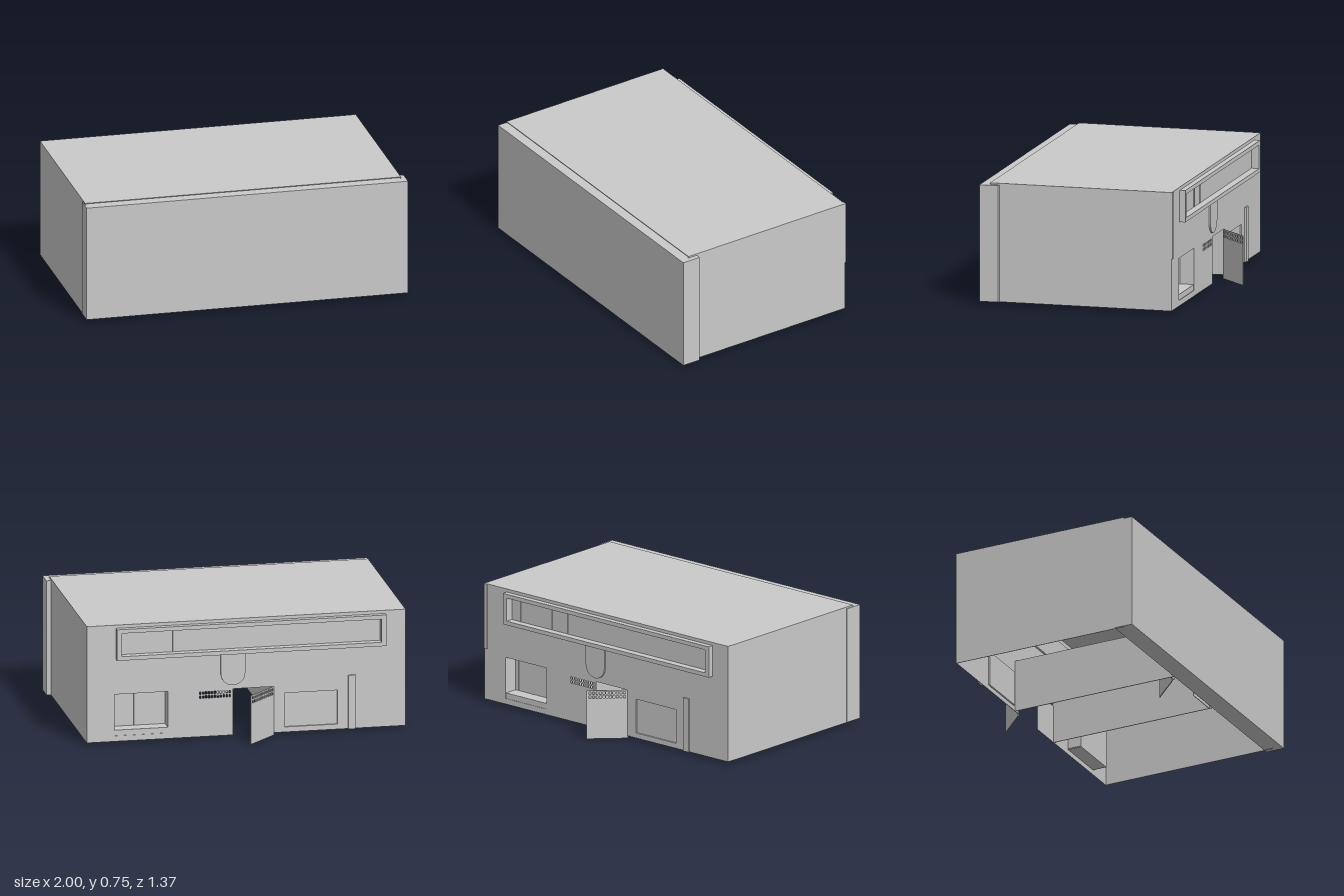
import * as THREE from 'three';

const grey = new THREE.MeshStandardMaterial({ color: 0xcacaca });
grey.name = 'plain grey';

const WALL_Z = -0.51, T = 0.004, BASE = 0.015, TOP = 0.745, HALL_TOP = 0.345;

function add(parent, name, geometry) {
  const mesh = new THREE.Mesh(geometry, grey);
  mesh.name = name;
  parent.add(mesh);
  return mesh;
}

// Box given by its limits on each axis
function block(parent, name, x0, x1, y0, y1, z0, z1) {
  const mesh = add(parent, name, new THREE.BoxGeometry(x1 - x0, y1 - y0, z1 - z0));
  mesh.position.set((x0 + x1) / 2, (y0 + y1) / 2, (z0 + z1) / 2);
  return mesh;
}

function rect(Type, x0, x1, y0, y1) {
  const p = new Type();
  p.moveTo(x0, y0);
  p.lineTo(x1, y0);
  p.lineTo(x1, y1);
  p.lineTo(x0, y1);
  p.closePath();
  return p;
}

function plate(shape, depth) {
  return new THREE.ExtrudeGeometry(shape, { depth, bevelEnabled: false, curveSegments: 10 });
}

// Wall outline with the doorway notched into its lower edge
function doorwayWall(x0, x1, top) {
  return new THREE.Shape([[x0, BASE], [-0.18, BASE], [-0.18, 0.305], [0.07, 0.305], [0.07, BASE],
    [x1, BASE], [x1, top], [x0, top]].map(([x, y]) => new THREE.Vector2(x, y)));
}

// Two rows of small square openings
function vents(shape, x0, x1) {
  const n = 11, step = (x1 - x0) / n;
  for (const y of [0.255, 0.28])
    for (let i = 0; i < n; i++) {
      const x = x0 + (i + 0.2) * step;
      shape.holes.push(rect(THREE.Path, x, x + step * 0.6, y, y + 0.016));
    }
}

// Reveal lining and pane set behind an opening in the back wall
function recess(parent, name, x0, x1, y0, y1, depth, mullions) {
  const g = new THREE.Group();
  g.name = name;
  const z0 = WALL_Z + 0.001, z1 = WALL_Z + depth, t = 0.004;
  block(g, 'pane', x0 - t, x1 + t, y0 - t, y1 + t, z1, z1 + t);
  for (const [a, b] of [[x0 - t, x0], [x1, x1 + t]]) block(g, 'sideReveal', a, b, y0, y1, z0, z1);
  for (const [a, b] of [[y0 - t, y0], [y1, y1 + t]]) block(g, 'levelReveal', x0, x1, a, b, z0, z1);
  for (const x of mullions) block(g, 'mullion', x - 0.003, x + 0.003, y0, y1, z1 - 0.004, z1);
  parent.add(g);
}

// Perforated door leaf, hinged at its own origin
function doorLeaf(parent, name, x, z, y0, y1, width) {
  const shape = rect(THREE.Shape, 0, width, y0, y1);
  vents(shape, 0.01, width - 0.01);
  const leaf = add(parent, name, plate(shape, 0.005));
  leaf.position.set(x, 0, z);
  leaf.rotation.y = Math.PI / 4;
}

export function createModel() {
  const model = new THREE.Group();
  model.name = 'building';

  // Shell, open underneath
  block(model, 'roof', -0.995, 0.97, TOP - T, TOP, WALL_Z, 0.63);
  block(model, 'rightWall', -0.995, -0.995 + T, BASE, TOP - T, WALL_Z + T, 0.63);
  block(model, 'leftWall', 0.97 - T, 0.97, BASE, TOP - T, WALL_Z + T, 0.63);
  block(model, 'frontWall', -1, 1, BASE + 0.003, 0.735, 0.57, 0.688);

  // Low hall between the two tall rooms
  block(model, 'hallWallRight', -0.225, -0.22, BASE, HALL_TOP, WALL_Z + T, 0.57);
  block(model, 'hallWallLeft', 0.28, 0.285, BASE, HALL_TOP, WALL_Z + T, 0.57);
  block(model, 'hallCeiling', -0.225, 0.285, HALL_TOP, HALL_TOP + T, WALL_Z + T, 0.57);
  const hallEnd = doorwayWall(-0.22, 0.28, HALL_TOP);
  vents(hallEnd, 0.08, 0.27);
  add(model, 'hallEndWall', plate(hallEnd, T)).position.z = 0.55;

  // Back wall with doorway, windows and vents cut out
  const wall = doorwayWall(-0.995, 0.97, TOP - T);
  wall.holes.push(
    rect(THREE.Path, -0.84, 0.76, 0.555, 0.7),
    rect(THREE.Path, 0.47, 0.8, 0.05, 0.31),
    rect(THREE.Path, -0.575, -0.25, 0.047, 0.26));
  vents(wall, 0.08, 0.28);
  add(model, 'backWall', plate(wall, T)).position.z = WALL_Z;

  recess(model, 'upperWindow', -0.84, 0.76, 0.555, 0.7, 0.012, [0.69, 0.435, 0.31]);
  recess(model, 'lowerWindow', 0.47, 0.8, 0.05, 0.31, 0.09, [0.775, 0.66, 0.545]);
  recess(model, 'blindPanel', -0.575, -0.25, 0.047, 0.26, 0.01, []);
  block(model, 'windowSill', 0.47, 0.8, 0.05, 0.085, WALL_Z + 0.003, WALL_Z + 0.09);

  // Projecting surround of the upper window
  const surround = rect(THREE.Shape, -0.87, 0.79, 0.53, 0.725);
  surround.holes.push(rect(THREE.Path, -0.84, 0.76, 0.555, 0.7));
  add(model, 'windowSurround', plate(surround, 0.035)).position.z = -0.545;

  // Rounded plaque above the doorway
  const plaque = new THREE.Shape();
  plaque.moveTo(-0.005, 0.53);
  plaque.lineTo(-0.005, 0.405);
  plaque.absarc(0.07, 0.405, 0.075, Math.PI, 2 * Math.PI, false);
  plaque.lineTo(0.145, 0.53);
  plaque.closePath();
  add(model, 'plaque', plate(plaque, 0.011)).position.z = WALL_Z - 0.01;

  // Wall strips
  block(model, 'cornerStrip', 0.945, 0.9695, 0.335, TOP - 0.001, -0.517, WALL_Z + 0.002);
  block(model, 'lowerStrip', -0.685, -0.64, BASE, 0.352, -0.522, WALL_Z + 0.002);

  // Open doors
  doorLeaf(model, 'outerDoor', -0.185, -0.508, 0, 0.305, 0.25);
  doorLeaf(model, 'innerDoor', -0.185, 0.54, 0.01, 0.305, 0.25);

  return model;
}
